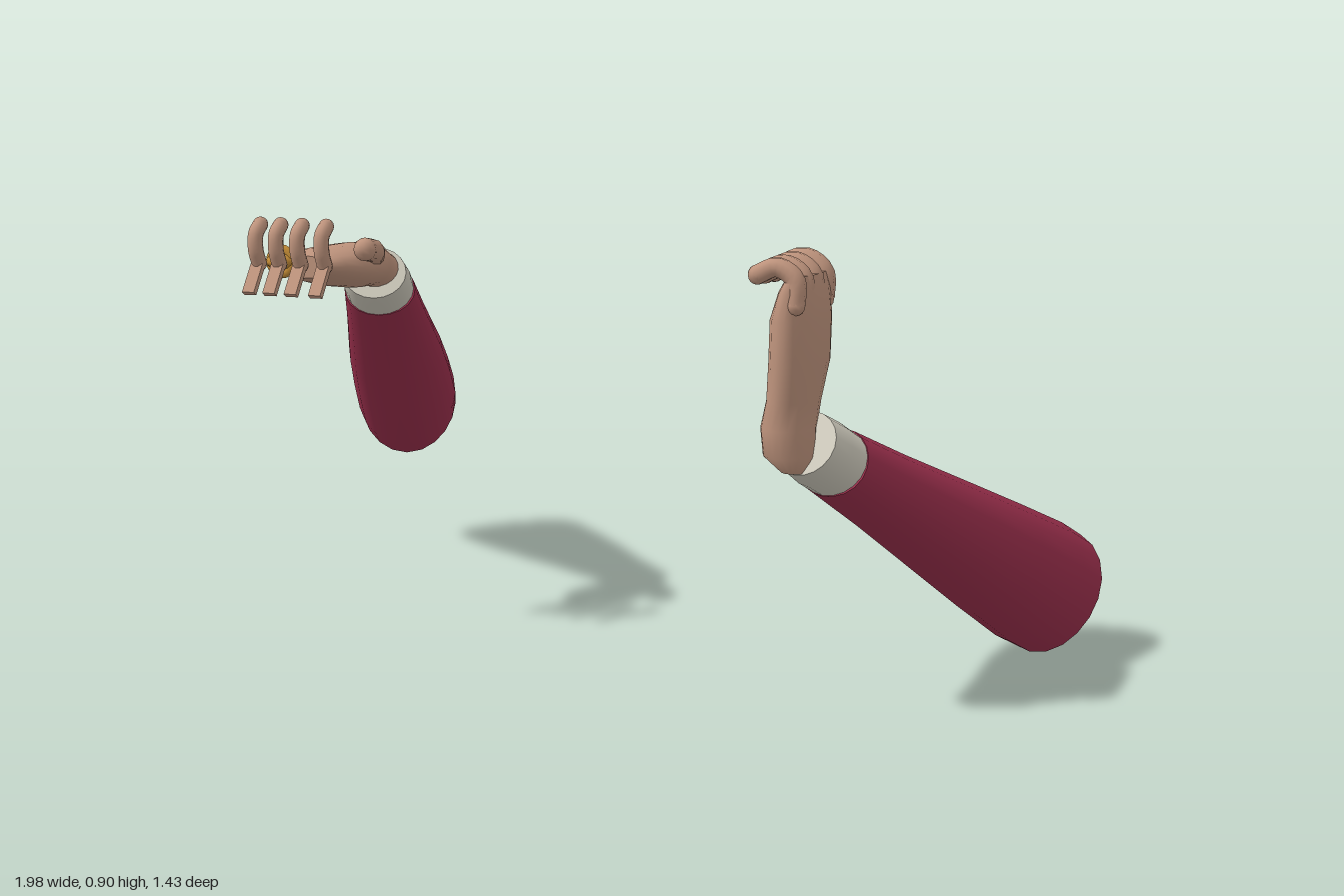
import * as THREE from 'three';

const V = (x, y, z) => new THREE.Vector3(x, y, z);

function makeMat(name, color) {
  const m = new THREE.MeshStandardMaterial({ color });
  m.name = name;
  return m;
}

// Skin elliptical sections { p, ru, rv } along a path; u x v points along it.
function loft(secs, u, v, wobble = 0, n = 20) {
  const pos = [], idx = [];
  const ring = (s, t) => {
    for (let i = 0; i < n; i++) {
      const a = (i / n) * Math.PI * 2;
      const k = 1 + wobble * Math.sin(3 * a + 4 * t);
      const q = s.p.clone()
        .addScaledVector(u, Math.cos(a) * s.ru * k)
        .addScaledVector(v, Math.sin(a) * s.rv * k);
      pos.push(q.x, q.y, q.z);
    }
  };
  secs.forEach((s, j) => ring(s, j / secs.length));
  for (let j = 0; j < secs.length - 1; j++) {
    for (let i = 0; i < n; i++) {
      const a = j * n + i, b = j * n + (i + 1) % n;
      idx.push(a, b, b + n, a, b + n, a + n);
    }
  }
  // End caps with their own vertices, for sharp rims
  [0, secs.length - 1].forEach((j) => {
    const start = pos.length / 3;
    ring(secs[j], j / secs.length);
    pos.push(secs[j].p.x, secs[j].p.y, secs[j].p.z);
    for (let i = 0; i < n; i++) {
      const a = start + i, b = start + (i + 1) % n;
      if (j === 0) idx.push(start + n, b, a);
      else idx.push(start + n, a, b);
    }
  });
  const g = new THREE.BufferGeometry();
  g.setAttribute('position', new THREE.Float32BufferAttribute(pos, 3));
  g.setIndex(idx);
  g.computeVertexNormals();
  return g;
}

export function createModel() {
  const root = new THREE.Group();
  const crimson = makeMat('crimson cloth', 0x9c304d);
  const linen = makeMat('cuff linen', 0xd0ccbe);
  const skin = makeMat('skin', 0xc0957e);
  const gold = makeMat('gold', 0xc48c36);

  const add = (parent, name, geo, mat) => {
    const m = new THREE.Mesh(geo, mat);
    m.name = name;
    parent.add(m);
    return m;
  };

  // Bent finger: tube with round ends
  const finger = (parent, name, pts, r) => {
    const g = new THREE.Group();
    g.name = name;
    parent.add(g);
    add(g, 'fingerBody', new THREE.TubeGeometry(new THREE.CatmullRomCurve3(pts), 12, r, 10), skin);
    [pts[0], pts[pts.length - 1]].forEach((p) =>
      add(g, 'fingerEnd', new THREE.SphereGeometry(r, 10, 8), skin).position.copy(p));
  };

  // Tapered sleeve and cuff
  const sleeve = (parent, base, wrist, cuffEnd) => {
    const d = wrist.clone().sub(base).normalize();
    const u = V(0, 1, 0).cross(d).normalize();
    const v = d.clone().cross(u);
    const secs = [
      [0, 0.122, 0.136], [0.1, 0.125, 0.137], [0.3, 0.121, 0.122],
      [0.5, 0.113, 0.105], [0.8, 0.092, 0.08], [1, 0.08, 0.067],
    ].map(([t, ru, rv]) => ({ p: base.clone().lerp(wrist, t), ru, rv }));
    add(parent, 'sleeve', loft(secs, u, v, 0.015), crimson);
    const cuff = [
      { p: wrist.clone().addScaledVector(d, -0.01), ru: 0.077, rv: 0.065 },
      { p: wrist.clone().lerp(cuffEnd, 0.5), ru: 0.076, rv: 0.066 },
      { p: cuffEnd, ru: 0.07, rv: 0.062 },
    ];
    add(parent, 'cuff', loft(cuff, u, v), linen);
  };

  const palm = (parent, rows, u, v) =>
    add(parent, 'palm', loft(rows.map(([x, y, z, ru, rv]) => ({ p: V(x, y, z), ru, rv })), u, v), skin);

  // Left arm, hand raised with the palm facing inward
  const left = new THREE.Group();
  left.name = 'leftArm';
  root.add(left);
  sleeve(left, V(0.875, 0.126, -0.115), V(0.58, 0.487, 0.54), V(0.545, 0.532, 0.61));
  palm(left, [
    [0.53, 0.48, 0.62, 0.03, 0.025],
    [0.52, 0.51, 0.62, 0.055, 0.048],
    [0.515, 0.56, 0.612, 0.065, 0.05],
    [0.522, 0.61, 0.604, 0.08, 0.047],
    [0.53, 0.68, 0.597, 0.106, 0.05],
    [0.533, 0.76, 0.6, 0.111, 0.049],
    [0.54, 0.81, 0.604, 0.112, 0.037],
    [0.545, 0.84, 0.606, 0.107, 0.022],
  ], V(0, 0, 1), V(1, 0, 0));
  [[0.53, 0.025], [0.596, 0.022], [0.653, 0.02], [0.698, 0.018]].forEach(([z, r]) =>
    finger(left, 'finger', [V(0.55, 0.79, z), V(0.549, 0.835, z), V(0.516, 0.857, z), V(0.48, 0.843, z)], r));
  finger(left, 'thumb', [V(0.515, 0.63, 0.55), V(0.505, 0.69, 0.525), V(0.5, 0.74, 0.525)], 0.024);

  // Right arm, hand reaching forward
  const right = new THREE.Group();
  right.name = 'rightArm';
  root.add(right);
  sleeve(right, V(-0.875, 0.363, -0.635), V(-0.637, 0.72, -0.025), V(-0.613, 0.762, 0.045));
  palm(right, [
    [-0.62, 0.765, 0.01, 0.052, 0.045],
    [-0.61, 0.785, 0.08, 0.055, 0.049],
    [-0.616, 0.787, 0.15, 0.075, 0.05],
    [-0.632, 0.79, 0.22, 0.088, 0.044],
    [-0.642, 0.794, 0.27, 0.08, 0.036],
    [-0.645, 0.794, 0.31, 0.07, 0.024],
  ], V(1, 0, 0), V(0, 1, 0));
  finger(right, 'thumb', [V(-0.575, 0.8, 0.13), V(-0.54, 0.822, 0.19), V(-0.528, 0.83, 0.25)], 0.025);

  // Upturned fingertips with thin slivers of the fingers below them
  [[-0.706, 0], [-0.655, 0.005], [-0.602, 0.01], [-0.54, 0.02]].forEach(([x, dz]) => {
    finger(right, 'fingertip', [
      V(x, 0.805, 0.385 + dz), V(x, 0.835, 0.398 + dz), V(x, 0.868, 0.396 + dz), V(x, 0.887, 0.376 + dz),
    ], 0.016);
    const s = add(right, 'fingerSliver', new THREE.BoxGeometry(0.028, 0.07, 0.012), skin);
    s.position.set(x, 0.775, 0.41 + dz);
    s.rotation.x = -0.6;
  });

  // Gold ring with a spindle-shaped setting
  const ring = new THREE.Group();
  ring.name = 'ring';
  ring.position.set(-0.675, 0.808, 0.347);
  right.add(ring);
  add(ring, 'band', new THREE.TorusGeometry(0.026, 0.01, 8, 20), gold);
  add(ring, 'setting', new THREE.SphereGeometry(0.02, 12, 8), gold).scale.set(1.6, 0.9, 1.8);

  return root;
}
